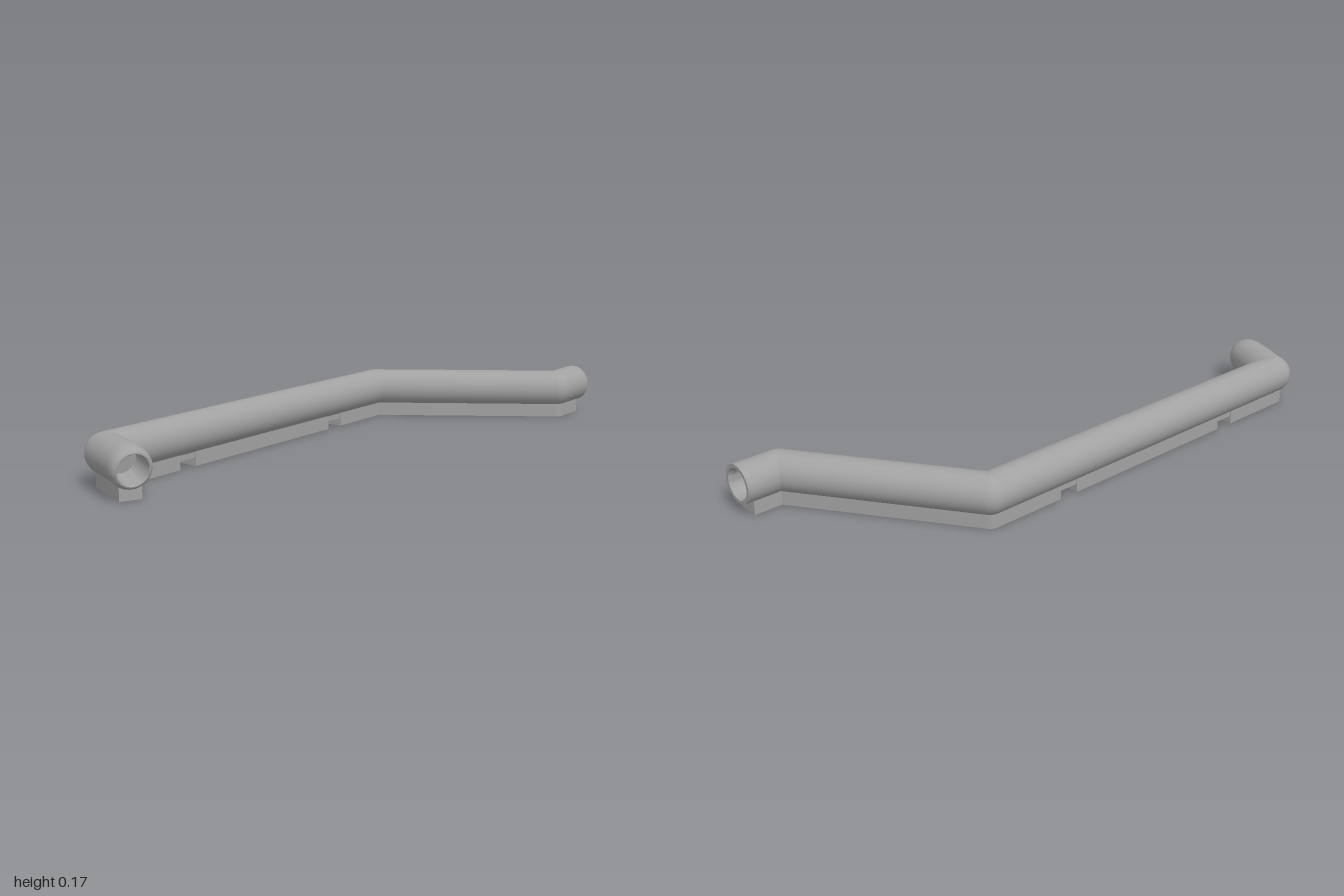
import * as THREE from 'three';
import { toCreasedNormals } from 'three/addons/utils/BufferGeometryUtils.js';

const R = 0.065;       // pipe radius
const AXIS_Y = 0.102;  // height of the pipe axis
const FOOT_W = 0.035;  // half width of the foot strip
const FOOT_TOP = 0.048;
const UP = new THREE.Vector3(0, 1, 0);

export function createModel() {
  const group = new THREE.Group();
  const grey = new THREE.MeshStandardMaterial({ color: 0xa2a2a2 });
  grey.name = 'grey';

  function add(name, geometry) {
    const mesh = new THREE.Mesh(geometry, grey);
    mesh.name = name;
    group.add(mesh);
    return mesh;
  }

  // Pipe route, seen from above
  const at = (x, z) => new THREE.Vector3(x, AXIS_Y, z);
  const backEnd = at(0.28, -1);
  const c1 = at(0.28, -0.855);
  const c2 = at(-0.28, -0.48);
  const c3 = at(-0.28, 0.868);
  const frontDir = new THREE.Vector3(Math.cos(Math.PI / 8), 0, Math.sin(Math.PI / 8));
  const joint = c3.clone().addScaledVector(frontDir, 0.162);

  // Open straight pipe between two points
  function pipe(name, a, b) {
    const dir = b.clone().sub(a);
    const mesh = add(name, new THREE.CylinderGeometry(R, R, dir.length(), 40, 1, true));
    mesh.position.copy(a).add(b).multiplyScalar(0.5);
    mesh.quaternion.setFromUnitVectors(UP, dir.normalize());
  }
  pipe('rearPipe', c1, c2);
  pipe('longPipe', c2, c3);
  pipe('frontPipe', c3, joint);

  // Rounded elbows
  [c1, c2, c3].forEach((p, i) => {
    add('elbow' + (i + 1), new THREE.SphereGeometry(R, 40, 24)).position.copy(p);
  });

  // Hollow end turned from a profile along its axis
  function hollowEnd(name, profile, origin, dir) {
    const points = profile.map(([r, y]) => new THREE.Vector2(r, y));
    const mesh = add(name, toCreasedNormals(new THREE.LatheGeometry(points, 40), 0.5));
    mesh.position.copy(origin);
    mesh.quaternion.setFromUnitVectors(UP, dir);
  }

  // Back socket with a bevelled mouth
  const len = c1.distanceTo(backEnd);
  hollowEnd('backSocket', [
    [R, 0], [R, len], [0.053, len], [0.046, len - 0.012], [0.046, len - 0.075], [0, len - 0.075],
  ], c1, new THREE.Vector3(0, 0, -1));

  // Front nozzle, tipped slightly down, with a rounded lip
  const lip = [];
  for (let i = 0; i <= 3; i++) {
    const a = (-12 + 4 * i) * Math.PI / 180;
    lip.push([R * Math.cos(a), R * Math.sin(a)]);
  }
  for (let i = 0; i <= 8; i++) {
    const a = (i / 8) * Math.PI / 2;
    lip.push([0.05 + 0.015 * Math.cos(a), 0.024 + 0.028 * Math.sin(a)]);
  }
  lip.push([0.048, 0.05], [0.048, -0.05], [0, -0.05]);
  const nozzleDir = frontDir.clone().setY(-Math.tan(9 * Math.PI / 180)).normalize();
  hollowEnd('frontNozzle', lip, joint, nozzleDir);

  // Foot strip: mitred inside each bend and rounded outside it
  function strip(name, path, y0 = 0, w = FOOT_W) {
    const p = path.map((v) => new THREE.Vector2(v.x, -v.z));
    const normals = p.slice(1).map((q, i) => {
      const d = q.clone().sub(p[i]).normalize();
      return new THREE.Vector2(-d.y, d.x);
    });
    const side = (s) => {
      const out = [];
      p.forEach((q, i) => {
        const n0 = normals[Math.max(i - 1, 0)];
        const n1 = normals[Math.min(i, normals.length - 1)];
        if (i === 0 || i === p.length - 1) {
          out.push(q.clone().addScaledVector(n0, s * w));
        } else if (n0.cross(n1) * s > 0) {
          const miter = n0.clone().add(n1).divideScalar(1 + n0.dot(n1));
          out.push(q.clone().addScaledVector(miter, s * w));
        } else {
          for (let k = 0; k <= 6; k++) {
            const n = n0.clone().lerp(n1, k / 6).normalize();
            out.push(q.clone().addScaledVector(n, s * w));
          }
        }
      });
      return out;
    };
    const shape = new THREE.Shape([...side(1), ...side(-1).reverse()]);
    const geometry = new THREE.ExtrudeGeometry(shape, { depth: FOOT_TOP - y0, bevelEnabled: false });
    geometry.rotateX(-Math.PI / 2);
    add(name, toCreasedNormals(geometry, 0.5)).position.y = y0;
  }
  const onLong = (z) => at(-0.28, z);
  strip('rearFoot', [at(0.28, -0.97), c1, c2, onLong(-0.22)]);
  strip('middleFoot', [onLong(-0.15), onLong(0.53)]);
  strip('frontFoot', [onLong(0.6), c3, c3.clone().addScaledVector(frontDir, 0.184)]);

  // Thin webs across the notches between the feet
  [[-0.22, -0.15], [0.53, 0.6]].forEach(([a, b], i) => {
    strip('notchWeb' + (i + 1), [onLong(a), onLong(b)], 0.027, 0.032);
  });

  return group;
}
